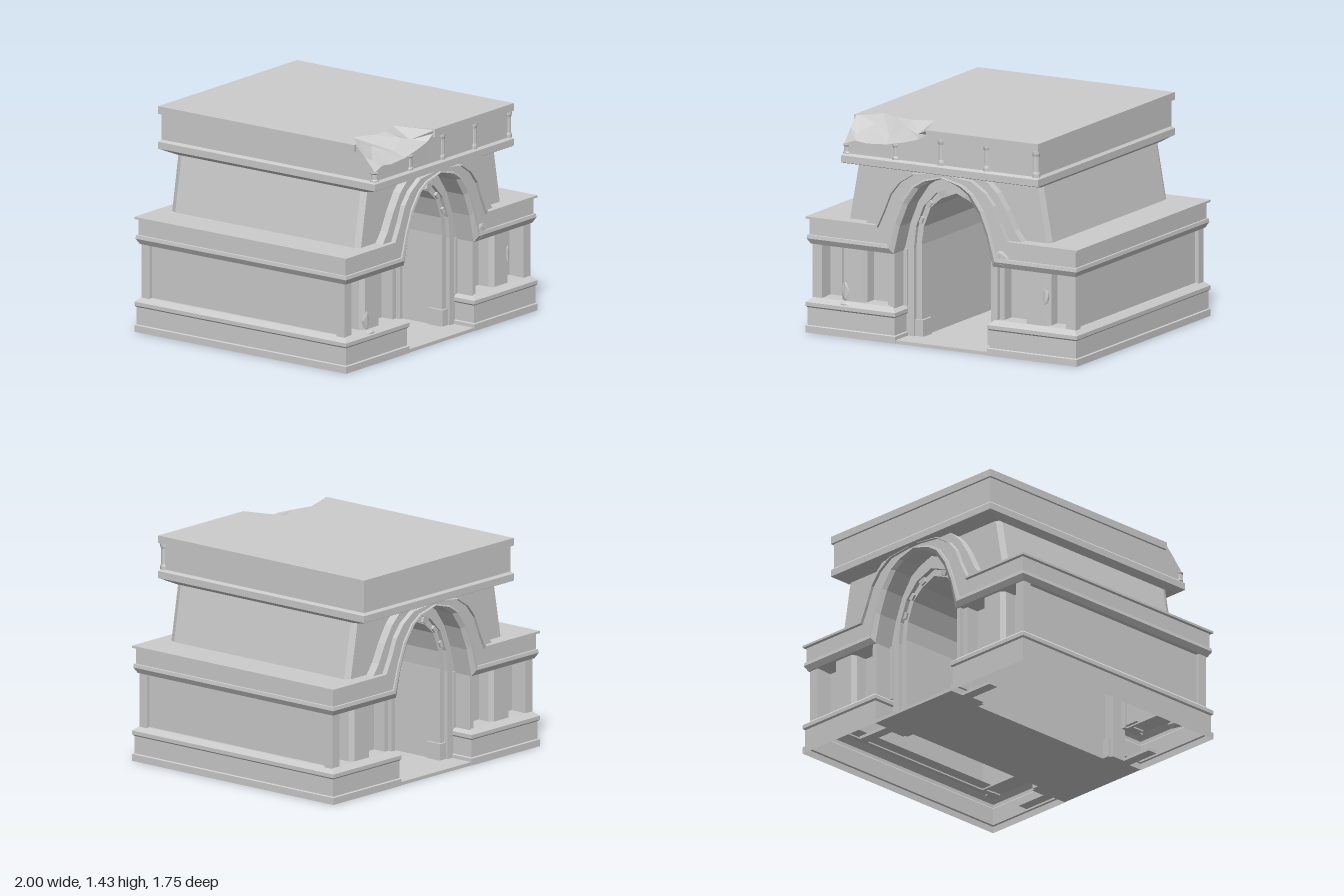
import * as THREE from 'three';

const stone = new THREE.MeshStandardMaterial({ color: 0xcccccc, flatShading: true, side: THREE.DoubleSide });

function add(parent, geometry, name, x = 0, y = 0, z = 0) {
  const m = new THREE.Mesh(geometry, stone);
  m.name = name;
  m.position.set(x, y, z);
  parent.add(m);
  return m;
}

// Box given by its limits
function block(parent, name, x0, x1, y0, y1, z0, z1) {
  return add(parent, new THREE.BoxGeometry(x1 - x0, y1 - y0, z1 - z0), name, (x0 + x1) / 2, (y0 + y1) / 2, (z0 + z1) / 2);
}

// Skin over rows of [x, y, z] points
function loft(rows) {
  const n = rows[0].length, index = [];
  for (let i = 0; i < rows.length - 1; i++)
    for (let j = 0; j < n - 1; j++) {
      const a = i * n + j, b = a + n;
      index.push(a, b, a + 1, b, b + 1, a + 1);
    }
  const g = new THREE.BufferGeometry();
  g.setAttribute('position', new THREE.Float32BufferAttribute(rows.flat(2), 3));
  g.setIndex(index);
  const flat = g.toNonIndexed();
  flat.computeVertexNormals();
  return flat;
}

// Band between two half arches (foot to apex), mirrored in x and extruded from z0 to z1
const mirrored = (half) => [...half, ...half.slice(0, -1).reverse().map(([x, y]) => [-x, y])];
function archBand(outer, inner, z0, z1, bevel = 0) {
  const pts = [...mirrored(outer), ...mirrored(inner).reverse()].map(([x, y]) => new THREE.Vector2(x, y));
  const g = new THREE.ExtrudeGeometry(new THREE.Shape(pts), {
    depth: z1 - z0 - 2 * bevel, bevelEnabled: bevel > 0, bevelThickness: bevel,
    bevelSize: bevel * 0.5, bevelOffset: -bevel * 0.5, bevelSegments: 1,
  });
  return g.translate(0, 0, z0 + bevel);
}

// Horizontal slab from a plan outline in x, z
function planSlab(plan, y0, y1) {
  const s = new THREE.Shape(plan.map(([x, z]) => new THREE.Vector2(x, -z)));
  return new THREE.ExtrudeGeometry(s, { depth: y1 - y0, bevelEnabled: false }).rotateX(-Math.PI / 2).translate(0, y0, 0);
}

const Z = 0.855;
// Half arches, from the archivolt's inner edge to the tunnel opening
const archA = [[0.365, 0], [0.365, 0.58], [0.32, 0.765], [0.26, 0.915], [0.18, 1.03], [0.11, 1.075], [0, 1.115]];
const archB = [[0.295, 0], [0.295, 0.6], [0.28, 0.74], [0.225, 0.88], [0.13, 0.98], [0, 1.03]];
const archC = [[0.255, 0], [0.255, 0.62], [0.24, 0.74], [0.19, 0.87], [0.11, 0.94], [0, 0.985]];

function sideHalf() {
  const g = new THREE.Group();

  // Moulded plinth: [inset, y] profile run around the footprint
  const plinth = [[0, 0], [0, 0.045], [0.01, 0.05], [0.01, 0.165], [0, 0.175], [0, 0.2], [0.035, 0.23], [0.16, 0.23]];
  const path = [[0, 0.66], [0, 1], [1, 1], [1, -1], [0, -1], [0, -0.66]];
  add(g, loft(path.map(([o, s]) => plinth.map(([d, y]) =>
    [o ? 1 - d : 0.34 + d, y, Math.abs(s) < 1 ? s : s * (Z - d)]))), 'plinth');

  // Recessed wall panels and pilasters
  block(g, 'sideWall', 0.92, 0.945, 0.22, 0.59, -0.76, 0.76);
  for (const s of [1, -1]) {
    const end = new THREE.Group();
    end.name = s > 0 ? 'frontBay' : 'backBay';
    end.scale.z = s;
    g.add(end);
    block(end, 'recessedPanel', 0.34, 0.94, 0.22, 0.59, 0.68, 0.7);
    block(end, 'cornerPilaster', 0.9, 0.97, 0.22, 0.59, 0.755, 0.82);
    block(end, 'cornerPilasterBack', 0.905, 0.94, 0.22, 0.59, 0.69, 0.76);
    block(end, 'innerPilaster', 0.365, 0.395, 0.22, 0.59, 0.66, 0.82);
    block(end, 'innerPilasterStep', 0.395, 0.43, 0.22, 0.59, 0.69, 0.79);
    add(end, planSlab([[0.585, 0.69], [0.585, 0.78], [0.605, 0.81], [0.745, 0.81], [0.77, 0.78], [0.77, 0.69]], 0.22, 0.59), 'middlePilaster');
    block(end, 'jambBase', 0.238, 0.345, 0, 0.13, 0.56, 0.675);
  }

  // Entablature that runs along the side and turns up into the archivolt at both ends
  const mould = [[0, 0.19], [0, 0.025], [0.2, 0.005], [0.33, 0.008], [0.34, 0.018], [0.9, 0.018], [0.92, 0], [1, 0], [1, 0.1]];
  const outer = [[0.485, 0.76], [0.43, 0.87], [0.385, 0.98], [0.32, 1.06], [0.22, 1.125], [0, 1.148]];
  const inner = archA.slice(1);
  const arch = (s) => outer.map(([ox, oy], i) => mould.map(([t, d]) =>
    [inner[i][0] + (ox - inner[i][0]) * t, inner[i][1] + (oy - inner[i][1]) * t, s * (Z - d)]));
  const corner = (s) => mould.map(([t, d]) => [1 - d, 0.58 + 0.18 * t, s * (Z - d)]);
  add(g, loft([...arch(1).reverse(), corner(1), corner(-1), ...arch(-1)]), 'entablatureAndArchivolt');
  block(g, 'deck', 0.42, 0.98, 0.59, 0.758, -0.835, 0.835);
  return g;
}

function brokenAttic(g) {
  // Soffit, lower cornice and foot of the frieze as stacked rectangles
  const rings = [[0.68, 0.755, 1.12], [0.715, 0.865, 1.145], [0.725, 0.875, 1.15], [0.725, 0.875, 1.195], [0.71, 0.86, 1.21], [0.71, 0.86, 1.26]];
  const turn = [[-1, 1], [1, 1], [1, -1], [-1, -1], [-1, 1]];
  add(g, loft(rings.map(([x, z, y]) => turn.map(([a, b]) => [a * x, y, b * z]))), 'lowerCornice');

  // Frieze and cap with the broken corner cut from the plan
  const notch = [[-0.1, 0.86], [-0.19, 0.6], [-0.33, 0.66], [-0.45, 0.64], [-0.58, 0.58], [-0.68, 0.7], [-0.71, 0.71]];
  const plan = (x, z) => [[-x, -z], [x, -z], [x, z], [-0.1, z], ...notch.slice(1, -1), [-x, 0.71]];
  add(g, planSlab(plan(0.71, 0.86), 1.24, 1.385), 'frieze');
  add(g, planSlab(plan(0.725, 0.875), 1.38, 1.43), 'topSlab');

  // Fractured stone surface filling the broken corner
  const mid = [[-0.11, 1.42, 0.865], [-0.22, 1.37, 0.77], [-0.31, 1.4, 0.76], [-0.42, 1.34, 0.79], [-0.56, 1.39, 0.72], [-0.66, 1.33, 0.8], [-0.71, 1.36, 0.78]];
  const front = [[-0.1, 1.4], [-0.16, 1.36], [-0.26, 1.33], [-0.4, 1.3], [-0.54, 1.29], [-0.63, 1.3], [-0.71, 1.27]];
  const columns = notch.map(([x, z], i) => [
    [x, 1.43, z], mid[i], [front[i][0], front[i][1], 0.862], [front[i][0], 1.24, 0.861]]);
  columns.push(columns[6].map(([x, , z]) => [x, 1.24, z]));
  add(g, loft(columns), 'brokenCorner');

  // Stout balusters on the front of the frieze, those under the break cut short
  const profile = [[0, 0], [0.028, 0], [0.028, 0.12], [0.023, 0.22], [0.023, 0.8], [0.028, 0.9], [0.028, 1], [0, 1]];
  for (const [x, h] of [[-0.695, 0.06], [-0.335, 0.1], [0, 0.17], [0.335, 0.17], [0.695, 0.17]])
    add(g, new THREE.LatheGeometry(profile.map(([r, t]) => new THREE.Vector2(r, t * h)), 10), 'friezeBaluster', x, 1.208, 0.847);
}

export function createModel() {
  const model = new THREE.Group();
  model.name = 'archedGatehouse';

  const left = sideHalf();
  left.name = 'leftSide';
  const right = left.clone();
  right.name = 'rightSide';
  right.scale.x = -1;
  model.add(left, right);

  // Tapering upper walls over a thin tunnel vault
  const upper = [[0.6, 0.62], [0.765, 0.62], [0.745, 0.76], [0.68, 1.12], [0.675, 1.19], [0, 1.19]];
  add(model, archBand(upper, [[0.36, 0.62], ...archA.slice(2)], -0.762, 0.762, 0.04), 'upperWall');
  add(model, archBand(archB, archC, -0.66, 0.66), 'tunnelVault');

  // Arch surrounds at both ends, set back inside the archivolt
  const extrados = [[0.58, 0.75], [0.52, 0.83], [0.46, 0.95], [0.39, 1.06], [0.31, 1.135], [0, 1.15]];
  const extradosInner = [[0.47, 0.75], [0.42, 0.87], [0.37, 0.98], [0.3, 1.06], [0.2, 1.115], [0, 1.135]];
  for (const s of [1, -1]) {
    const end = new THREE.Group();
    end.name = s > 0 ? 'frontArch' : 'backArch';
    end.scale.z = s;
    model.add(end);
    add(end, archBand(extrados, extradosInner, 0.72, 0.82), 'outerArchStep');
    add(end, archBand(archA, archB, 0.58, 0.69), 'archFrame');
    for (const [x, y, a] of [[0.265, 0.79, 1.2], [0.2, 0.905, 0.85], [0.1, 0.98, 0.45]])
      for (const m of [1, -1])
        add(end, new THREE.CylinderGeometry(0.04, 0.028, 0.05, 4, 1, false, Math.PI / 4).scale(1, 1, 0.7),
          'archTooth', m * x, y, 0.66).rotation.z = -m * a;
    block(end, 'threshold', -0.345, 0.345, 0, 0.022, 0.66, 0.85);
    block(end, 'thresholdBeam', -0.59, 0.59, 0, 0.02, 0.68, 0.75);
  }
  block(model, 'floor', -0.257, 0.257, 0, 0.02, -0.7, 0.7);

  brokenAttic(model);

  // Chipped stone fragments on the front
  for (const [x, y, z, sx, sy, sz] of [
    [-0.72, 0.2, 0.815, 0.09, 0.035, 0.04], [-0.73, 0.29, 0.8, 0.035, 0.09, 0.02],
    [0.43, 0.64, 0.83, 0.07, 0.07, 0.018], [0.74, 0.42, 0.79, 0.025, 0.09, 0.03]])
    add(model, new THREE.IcosahedronGeometry(1, 0).scale(sx, sy, sz), 'stoneFragment', x, y, z);

  return model;
}
